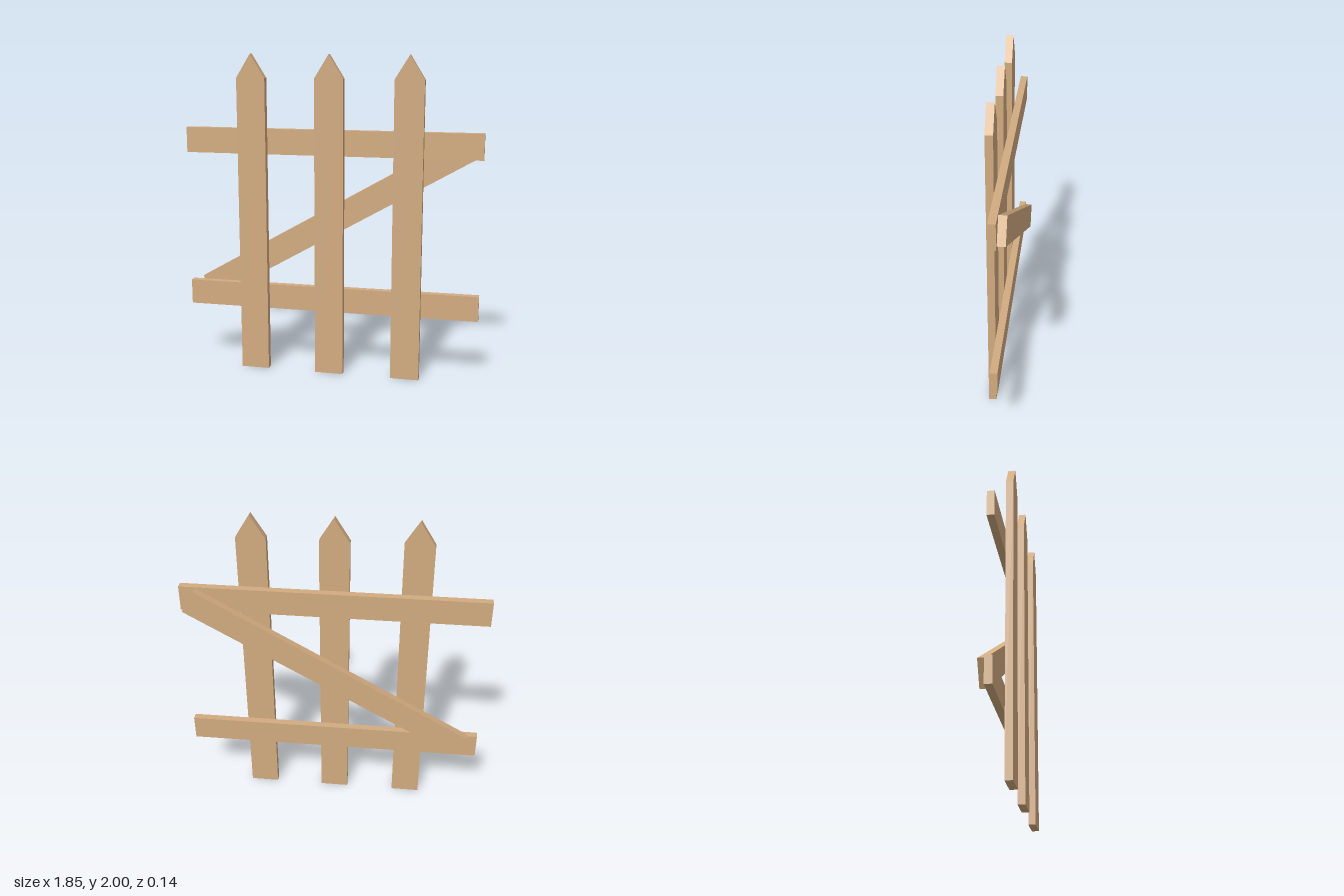
import * as THREE from 'three';

export function createModel() {
  const fence = new THREE.Group();
  fence.name = 'picketFence';

  const wood = new THREE.MeshStandardMaterial({ color: 0xd2ab80 });
  wood.name = 'tan wood';

  const add = (name, geometry, x, y, z) => {
    const mesh = new THREE.Mesh(geometry, wood);
    mesh.name = name;
    mesh.position.set(x, y, z);
    fence.add(mesh);
    return mesh;
  };

  // Pointed pickets at the front
  const half = 0.089;
  const outline = new THREE.Shape([
    new THREE.Vector2(-half, 0),
    new THREE.Vector2(half, 0),
    new THREE.Vector2(half, 1.856),
    new THREE.Vector2(0, 2),
    new THREE.Vector2(-half, 1.856),
  ]);
  const picket = new THREE.ExtrudeGeometry(outline, { depth: 0.045, bevelEnabled: false });
  [['rightPicket', -0.485], ['middlePicket', 0], ['leftPicket', 0.483]].forEach(([name, x]) =>
    add(name, picket, x, 0, 0.028));

  // Horizontal rails behind the pickets
  const rail = new THREE.BoxGeometry(1.85, 0.158, 0.044);
  add('lowerRail', rail, 0, 0.47, -0.002);
  add('upperRail', rail, 0, 1.466, -0.002);

  // Diagonal brace across the back of the rails
  const brace = add('diagonalBrace', new THREE.BoxGeometry(1.947, 0.161, 0.047), 0.023, 0.983, -0.0485);
  brace.rotation.z = Math.PI / 6;

  return fence;
}
